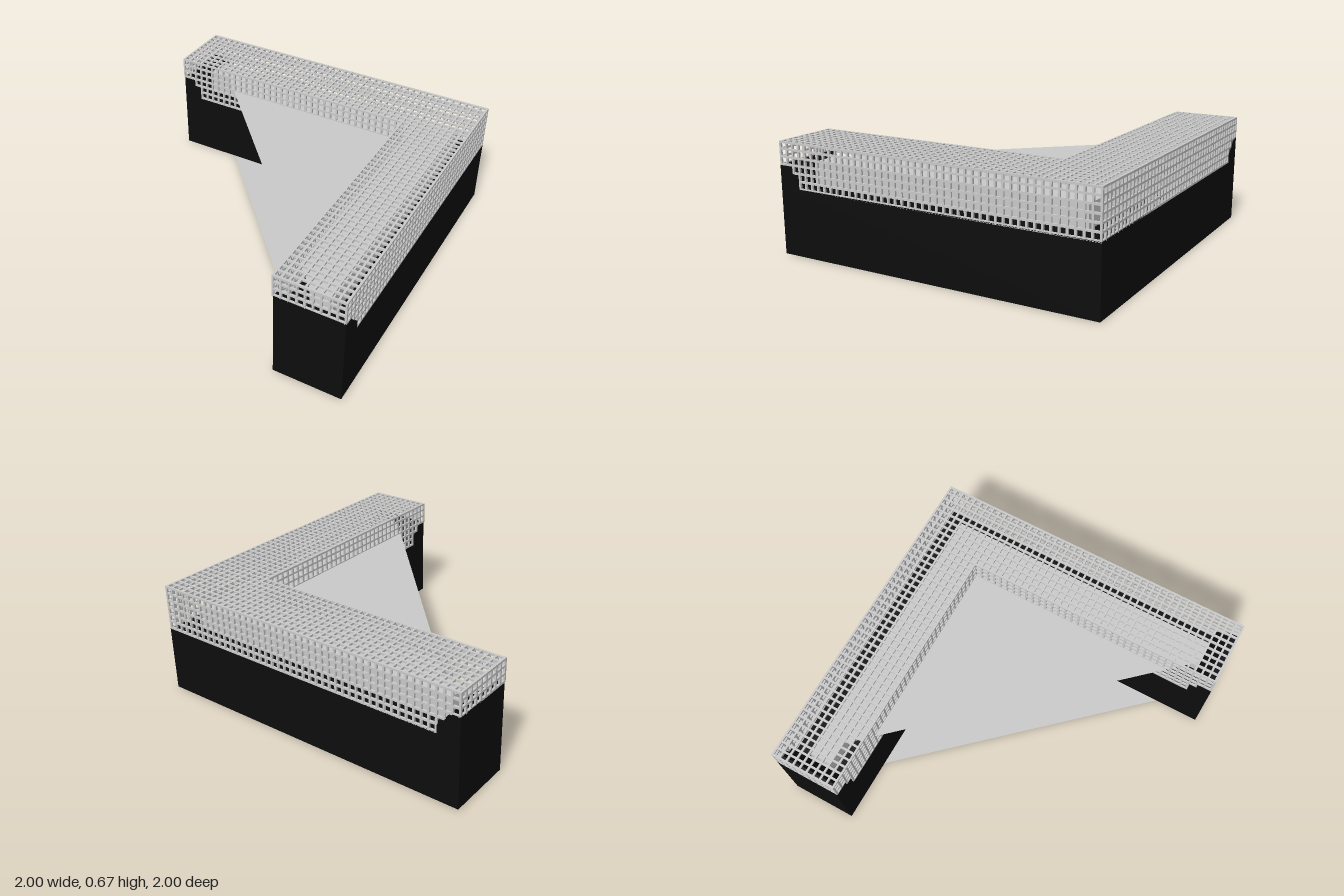
import * as THREE from 'three';
import { mergeGeometries } from 'three/addons/utils/BufferGeometryUtils.js';

const CELL = 2 / 45;           // mesh pitch
const BAR = 0.012;             // bar thickness
const BASE = 9 * CELL;         // base height, also arm width
const DECK = 12 * CELL;        // top of core and end blocks
const TOP = 15 * CELL;         // top of mesh cover
const INSET = 3 * CELL;        // core inset from the base edge

// position of grid line k in plan, bars kept inside the outer edge
const grid = (k) => -1 + BAR / 2 + (k / 45) * (2 - BAR);

// plan outline (x, z) turned into a solid between two heights
function slab(points, y0, y1) {
  const shape = new THREE.Shape(points.map(([x, z]) => new THREE.Vector2(x, z)));
  const geo = new THREE.ExtrudeGeometry(shape, { depth: y1 - y0, bevelEnabled: false });
  return geo.rotateX(Math.PI / 2).translate(0, y1, 0);
}

// L-shaped plan with its corner at +x, -z
function lPlan(inset) {
  const o = 1 - inset, i = 1 - BASE + inset;
  return [[-o, -o], [o, -o], [o, o], [i, o], [i, -i], [-o, -i]];
}

// axis-aligned bar between two points
function bar(a, b) {
  const size = a.map((v, n) => Math.abs(b[n] - v) + BAR);
  return new THREE.BoxGeometry(...size)
    .translate((a[0] + b[0]) / 2, (a[1] + b[1]) / 2, (a[2] + b[2]) / 2);
}

// upright mesh panel; at(k, y) gives the point on column k.
// firstRow(k) lets the lower edge follow the sloped end block.
function wall(bars, at, columns, firstRow) {
  const height = (r) => BASE + r * CELL - (r === 6 ? BAR / 2 : 0);
  for (let k = 0; k <= columns; k++) bars.push(bar(at(k, height(firstRow(k))), at(k, height(6))));
  for (let r = 0; r < 6; r++) {
    let k = 0;
    while (k <= columns && firstRow(k) > r) k++;
    if (k < columns) bars.push(bar(at(k, height(r)), at(columns, height(r))));
  }
}

function meshCover() {
  const bars = [];
  const y = TOP - BAR / 2;
  // top panel
  for (let k = 0; k <= 45; k++) {
    bars.push(bar([grid(k <= 9 ? 0 : 36), y, grid(k)], [grid(45), y, grid(k)]));
    bars.push(bar([grid(k), y, grid(0)], [grid(k), y, grid(k < 36 ? 9 : 45)]));
  }
  // long sides, dropping over the core, starting from each end block
  const sloped = (k) => (k < 2 ? 3 : k === 2 ? 2 : 0);
  const ends = () => 3;
  wall(bars, (k, h) => [grid(k), h, grid(0)], 45, sloped);
  wall(bars, (k, h) => [grid(k), h, grid(9)], 36, sloped);
  wall(bars, (k, h) => [grid(45), h, grid(45 - k)], 45, sloped);
  wall(bars, (k, h) => [grid(36), h, grid(45 - k)], 36, sloped);
  // short sides above the end blocks
  wall(bars, (k, h) => [grid(0), h, grid(k)], 9, ends);
  wall(bars, (k, h) => [grid(36 + k), h, grid(45)], 9, ends);
  return mergeGeometries(bars);
}

// raised block with a sloped inner side, at the -x end
function endBlock() {
  const profile = [[0, BASE], [3, BASE], [3, BASE + CELL], [1, DECK], [0, DECK]]
    .map(([c, h]) => new THREE.Vector2(-1 + c * (c ? CELL : 0), h));
  return new THREE.ExtrudeGeometry(new THREE.Shape(profile), { depth: BASE, bevelEnabled: false })
    .translate(0, 0, -1);
}

export function createModel() {
  const group = new THREE.Group();
  const grey = new THREE.MeshStandardMaterial({ color: 0xcccccc });
  const sheet = new THREE.MeshStandardMaterial({ color: 0xcccccc, side: THREE.DoubleSide });
  const black = new THREE.MeshStandardMaterial({ color: 0x0d0d0d });
  const add = (name, geo, mat) => {
    const mesh = new THREE.Mesh(geo, mat);
    mesh.name = name;
    group.add(mesh);
    return mesh;
  };

  add('base', slab(lPlan(0), 0.002, BASE), black);
  add('rightEndBlock', endBlock(), black);
  add('frontEndBlock', endBlock().rotateY(Math.PI / 2).translate(2 - BASE, 0, 0), black);
  add('core', slab(lPlan(INSET), BASE, DECK - 0.002), grey);

  // thin plates spanning the inside of the L, above and below
  const plan = lPlan(INSET);
  plan.splice(4, 1, [-(1 - BASE + INSET), -(1 - BASE + INSET)]);
  const plate = () => new THREE.ShapeGeometry(
    new THREE.Shape(plan.map(([x, z]) => new THREE.Vector2(x, z)))).rotateX(Math.PI / 2);
  add('upperPlate', plate().translate(0, DECK, 0), sheet);
  add('lowerPlate', plate(), sheet);

  add('meshCover', meshCover(), grey);
  return group;
}
